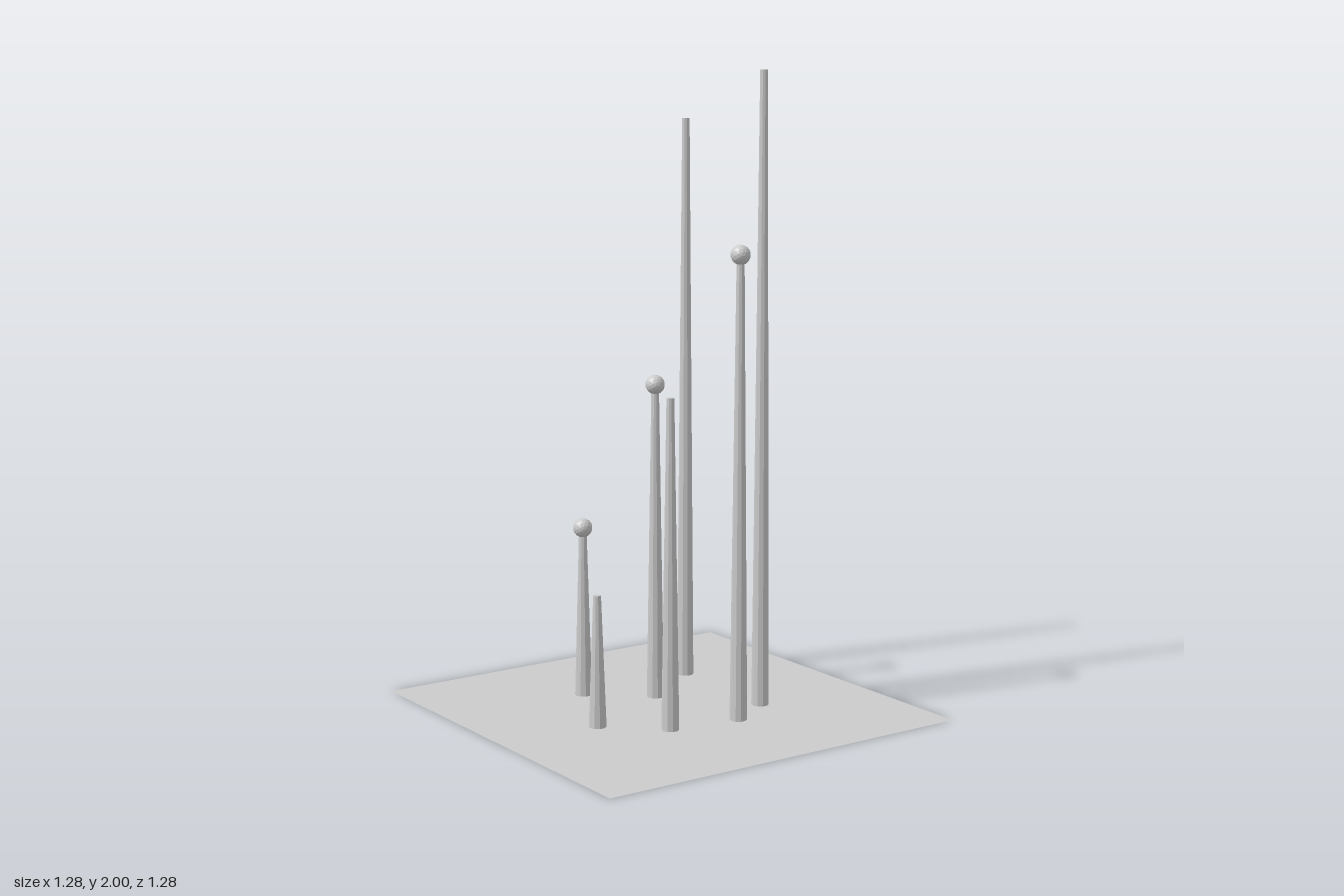
import * as THREE from 'three';

export function createModel() {
  const model = new THREE.Group();
  const material = new THREE.MeshStandardMaterial({
    color: 0xcccccc, flatShading: true, side: THREE.DoubleSide,
  });

  function add(name, geometry, x, y, z) {
    const mesh = new THREE.Mesh(geometry, material);
    mesh.name = name;
    mesh.position.set(x, y, z);
    model.add(mesh);
  }

  // Flat square ground sheet
  add('basePlate', new THREE.PlaneGeometry(1.28, 1.28).rotateX(-Math.PI / 2), 0, 0, 0);

  // Tapered columns: x, z, height, carries a ball
  const columns = [
    [-0.26, -0.26, 1.84, false],
    [0.161, -0.252, 2.0, false],
    [0.217, 0.136, 1.03, false],
    [0.063, 0.301, 0.415, false],
    [0.252, -0.098, 1.45, true],
    [-0.101, -0.029, 1.016, true],
    [-0.252, 0.148, 0.55, true],
  ];
  for (const [x, z, height, hasBall] of columns) {
    add('column', new THREE.CylinderGeometry(0.012, 0.0275, height, 10), x, height / 2, z);
    // Ball centred on the column's tip
    if (hasBall) add('ball', new THREE.IcosahedronGeometry(0.031, 2), x, height, z);
  }
  return model;
}
